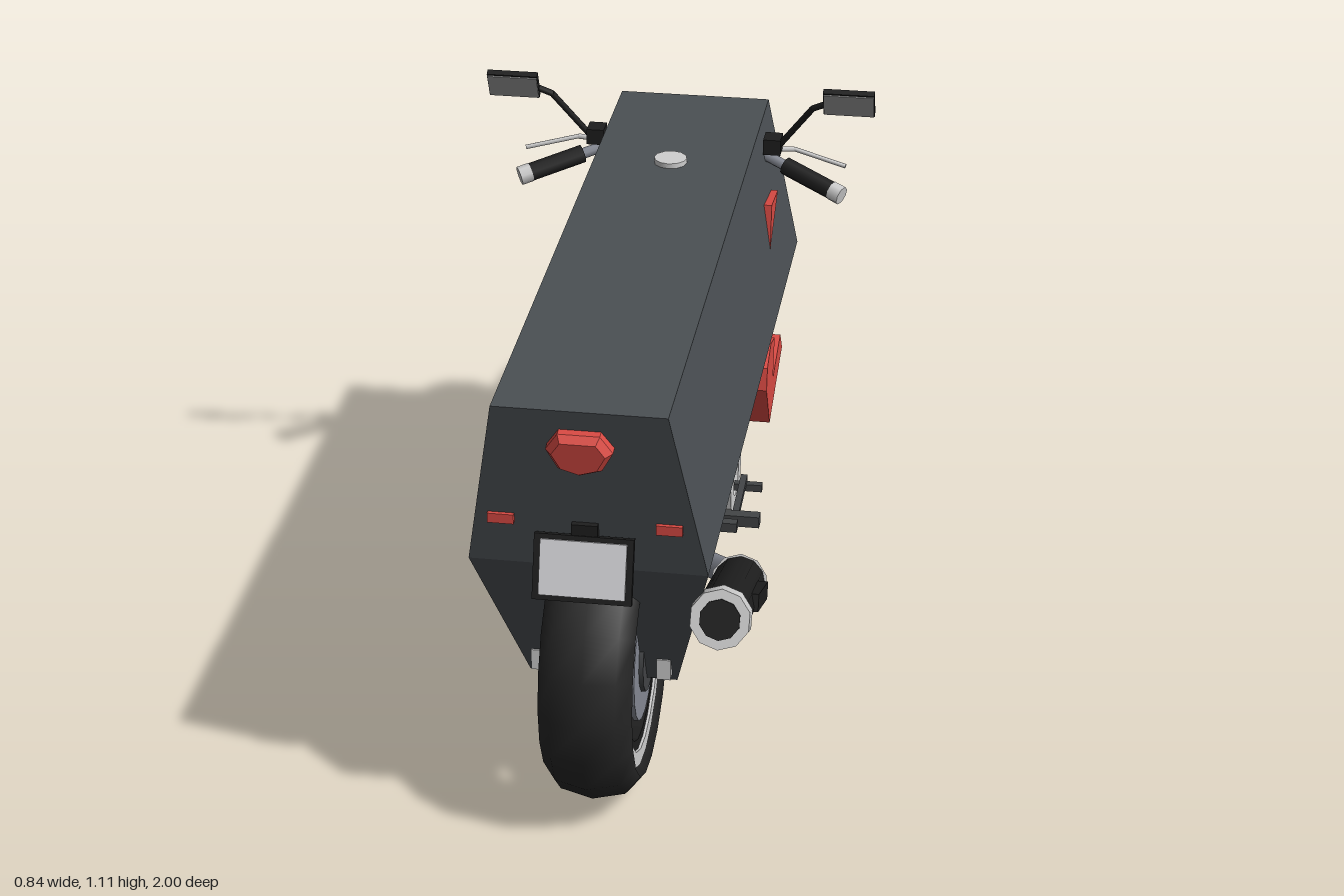
import * as THREE from 'three';

const mat = (name, color, side = THREE.FrontSide) => {
  const m = new THREE.MeshStandardMaterial({ color, side });
  m.name = name;
  return m;
};

export function createModel() {
  const root = new THREE.Group();
  root.name = 'motorcycle';
  const slate = mat('slate bodywork', 0x4b5054), black = mat('black', 0x1e1e1e), rubber = mat('rubber', 0x262626),
    red = mat('red', 0xd94a43, THREE.DoubleSide), silver = mat('silver', 0xcfcfcf),
    steel = mat('blue steel', 0x868a94), dark = mat('dark grey', 0x434547),
    white = mat('plate white', 0xd8d8dc), glass = mat('mirror glass', 0x9a9a9a);
  slate.flatShading = true;

  const V = (x, y, z) => new THREE.Vector3(x, y, z);
  const add = (name, geo, m, parent = root) => {
    const mesh = new THREE.Mesh(geo, m);
    mesh.name = name;
    parent.add(mesh);
    return mesh;
  };
  const box = (name, m, size, pos, rx = 0, parent = root) => {
    const b = add(name, new THREE.BoxGeometry(...size), m, parent);
    b.position.set(...pos);
    b.rotation.x = rx;
    return b;
  };
  // Cylinder between two points
  const rod = (name, m, a, b, r, r2 = r, sides = 8) => {
    const d = b.clone().sub(a);
    const c = add(name, new THREE.CylinderGeometry(r2, r, d.length(), sides), m);
    c.position.copy(a).addScaledVector(d, 0.5);
    c.quaternion.setFromUnitVectors(V(0, 1, 0), d.normalize());
    return c;
  };
  // Revolved profile of [radius, offset] around the x axis
  const turned = (pts, seg, start = 0, len = Math.PI * 2) =>
    new THREE.LatheGeometry(pts.map(p => new THREE.Vector2(...p)), seg, start, len).rotateZ(Math.PI / 2);
  const ring = (ri, ro, h, seg = 20) => {
    const g = turned([[ri, -h], [ro, -h], [ro, h], [ri, h], [ri, -h]], seg).toNonIndexed();
    g.computeVertexNormals();
    return g;
  };
  // Stacked rectangles, bottom to top: [y, halfWidth, zFront, zBack]
  const hull = levels => {
    const rings = levels.map(([y, w, f, b]) => [[w, y, f], [w, y, b], [-w, y, b], [-w, y, f]]);
    const pos = [];
    const quad = (a, b, c, d) => pos.push(...a, ...b, ...c, ...a, ...c, ...d);
    for (let k = 0; k + 1 < rings.length; k++)
      for (let i = 0, j = 1; i < 4; i++, j = (i + 1) % 4)
        quad(rings[k][i], rings[k][j], rings[k + 1][j], rings[k + 1][i]);
    quad(...rings[rings.length - 1]);
    quad(...[...rings[0]].reverse());
    const g = new THREE.BufferGeometry();
    g.setAttribute('position', new THREE.Float32BufferAttribute(pos, 3));
    g.computeVertexNormals();
    return g;
  };
  const shape = pts => new THREE.Shape(pts.map(p => new THREE.Vector2(...p)));

  // Bodywork
  add('body', hull([[0.26, 0.148, 0.73, -0.525], [0.605, 0.23, 0.895, -0.605], [0.977, 0.165, 0.972, -0.545]]), slate);
  add('belly', hull([[0.15, 0.103, 0.085, -0.225], [0.235, 0.138, 0.33, -0.38], [0.262, 0.148, 0.4, -0.38]]), slate);
  add('fuelCap', new THREE.CylinderGeometry(0.035, 0.035, 0.012, 12), silver).position.set(0, 0.982, -0.17);

  // Wheels
  const wheel = (name, z, w) => {
    const g = new THREE.Group();
    g.name = name;
    g.position.set(0, 0.304, z);
    root.add(g);
    const tyre = [[0.228, -w * 0.8], [0.25, -w], [0.285, -w * 0.7], [0.3, 0], [0.285, w * 0.7], [0.25, w], [0.228, w * 0.8], [0.228, -w * 0.8]];
    add('tyre', turned(tyre, 20), rubber, g);
    add('rim', ring(0.203, 0.234, w * 0.86), silver, g);
    add('innerRim', ring(0.182, 0.206, w * 0.8), black, g);
    for (let i = 0; i < 6; i++) {
      const a = i * Math.PI / 3 + 0.3;
      const s = box('spoke', black, [0.04, 0.15, 0.035], [0, 0.125 * Math.cos(a), 0.125 * Math.sin(a)], a, g);
      s.scale.x = w / 0.08;
    }
    for (const s of [-1, 1])
      add('brakeDisc', ring(0.07, 0.14, 0.005), steel, g).position.x = s * w * 0.8;
    add('hub', new THREE.CylinderGeometry(0.082, 0.082, w * 1.9, 14).rotateZ(Math.PI / 2), dark, g);
  };
  wheel('rearWheel', 0.7, 0.092);
  wheel('frontWheel', -0.7, 0.062);

  // Front fender
  const fender = add('frontFender', turned([[0.315, -0.072], [0.332, -0.068], [0.342, -0.035], [0.342, 0.035],
    [0.332, 0.068], [0.315, 0.072], [0.325, 0.035], [0.325, -0.035], [0.315, -0.072]], 9, 1.1, 1.52), red);
  fender.position.set(0, 0.304, -0.7);

  // Muffler, pipe and clamp
  const m0 = V(0.235, 0.325, 0.44), m1 = V(0.254, 0.517, 0.905);
  const along = t => m0.clone().lerp(m1, t);
  rod('muffler', black, along(0.05), along(0.93), 0.053, 0.053, 12);
  rod('mufflerFrontCap', silver, along(0), along(0.05), 0.05, 0.058, 10);
  rod('mufflerEndCap', silver, along(0.92), along(1), 0.061, 0.059, 10);
  rod('mufflerOutlet', black, along(1), along(1.008), 0.04, 0.04, 10);
  box('heatShield', black, [0.02, 0.035, 0.17], [0.298, 0.425, 0.66], -0.39);
  add('exhaustPipe', new THREE.TubeGeometry(new THREE.CatmullRomCurve3(
    [along(0.02), V(0.21, 0.275, 0.34), V(0.15, 0.235, 0.24), V(0.07, 0.22, 0.16)]), 10, 0.029, 8), steel);

  // Tail light, number plate
  const lampPts = [[-0.063, 0.01], [-0.042, 0.042], [0.042, 0.042], [0.063, 0.01], [0.042, -0.03], [0, -0.044], [-0.042, -0.03]];
  const lamp = add('tailLight', new THREE.ExtrudeGeometry(shape(lampPts.reverse().map(p => [p[0] * 0.8, p[1] * 0.8])),
    { depth: 0.025, bevelThickness: 0.015, bevelSize: 0.011, bevelSegments: 1 }), red);
  lamp.position.set(0, 0.892, 0.947);
  lamp.rotation.x = 0.15;
  box('plateFrame', black, [0.19, 0.128, 0.014], [0, 0.63, 0.945], -0.3);
  box('numberPlate', white, [0.165, 0.108, 0.006], [0, 0.633, 0.953], -0.3);
  box('plateBracket', black, [0.05, 0.04, 0.03], [0, 0.695, 0.915]);

  // Headlight, pointing slightly down
  const head = new THREE.Group();
  head.name = 'headlight';
  head.position.set(0, 0.785, -0.585);
  head.rotation.x = -Math.PI / 2 - 0.36;
  root.add(head);
  const octagon = (name, rTop, rBase, h, y, m) => {
    const g = new THREE.CylinderGeometry(rTop, rBase, h, 8, 1, false, Math.PI / 8).toNonIndexed();
    g.computeVertexNormals();
    add(name, g, m, head).position.y = y;
  };
  octagon('headlightTrim', 0.1, 0.105, 0.02, -0.012, red);
  octagon('headlightShell', 0.074, 0.1, 0.055, 0.025, black);
  octagon('headlightLens', 0.064, 0.064, 0.006, 0.054, glass);

  // Red side panels: outlines in (z, y)
  const vee = [[-0.11, 0.53], [-0.17, 0.56], [-0.24, 0.54], [-0.22, 0.45], [-0.355, 0.49], [-0.395, 0.44], [-0.17, 0.365], [-0.1, 0.48]];
  const fin = [[-0.28, 0.84], [-0.395, 0.825], [-0.265, 0.74]];
  const panel = (name, pts, s, outer, depth) =>
    add(name, new THREE.ExtrudeGeometry(shape(pts), { depth, bevelEnabled: false }).rotateY(-Math.PI / 2), red)
      .position.x = s > 0 ? outer : depth - outer;

  for (const s of [-1, 1]) {
    panel('sidePanel', vee, s, 0.222, 0.07);
    panel('upperFin', fin, s, 0.206, 0.04);
    box('rearMarker', red, [0.05, 0.02, 0.012], [s * 0.16, 0.715, 0.922]);
    box('swingarm', silver, [0.028, 0.045, 0.1], [s * 0.125, 0.303, 0.715]);

    // Engine cover and foot pegs
    add('engineCover', ring(0.04, 0.085, 0.01, 16), silver).position.set(s * 0.166, 0.345, 0.05);
    box('footPeg', dark, [0.09, 0.025, 0.025], [s * 0.21, 0.375, 0.277]);
    box('pedal', dark, [0.014, 0.014, 0.18], [s * 0.2, 0.368, 0.19], 0.08);
    box('pedalTip', dark, [0.06, 0.016, 0.016], [s * 0.21, 0.36, 0.112]);
    box('passengerPeg', dark, [0.06, 0.02, 0.02], [s * 0.212, 0.52, 0.556]);
    box('rearBracket', dark, [0.04, 0.03, 0.03], [s * 0.155, 0.3, 0.5]);

    // Fork and brakes
    rod('forkTube', silver, V(s * 0.105, 0.58, -0.59), V(s * 0.105, 0.33, -0.69), 0.02);
    box('axleClamp', dark, [0.04, 0.085, 0.06], [s * 0.105, 0.31, -0.7], 0.37);
    box('brakeCaliper', red, [0.035, 0.08, 0.05], [s * 0.085, 0.375, -0.595], 0.37);

    // Handlebar
    const inner = V(s * 0.16, 0.914, -0.4), outer = V(s * 0.355, 0.862, -0.305);
    const at = t => inner.clone().lerp(outer, t);
    rod('handlebar', steel, inner, at(0.4), 0.012);
    rod('grip', black, at(0.33), at(0.9), 0.02);
    rod('gripEnd', silver, at(0.88), at(1), 0.021);
    rod('lever', silver, V(s * 0.21, 0.922, -0.4), V(s * 0.24, 0.922, -0.405), 0.006);
    rod('leverBlade', silver, V(s * 0.24, 0.922, -0.405), V(s * 0.355, 0.897, -0.385), 0.005);
    box('leverMount', black, [0.038, 0.035, 0.045], [s * 0.195, 0.942, -0.38]);

    // Mirror
    rod('mirrorStem', black, V(s * 0.2, 0.93, -0.375), V(s * 0.285, 1.05, -0.335), 0.007);
    rod('mirrorArm', black, V(s * 0.285, 1.05, -0.335), V(s * 0.32, 1.07, -0.32), 0.007);
    box('mirrorHousing', black, [0.11, 0.066, 0.014], [s * 0.365, 1.077, -0.312], 0.45);
    box('mirrorGlass', glass, [0.108, 0.06, 0.004], [s * 0.365, 1.073, -0.305], 0.45);
  }

  // Kickstand
  rod('kickstand', dark, V(-0.12, 0.27, 0.14), V(-0.2, 0.185, 0.36), 0.011, 0.009);
  box('kickstandFoot', dark, [0.05, 0.022, 0.05], [-0.21, 0.178, 0.375], 0.2);

  return root;
}
